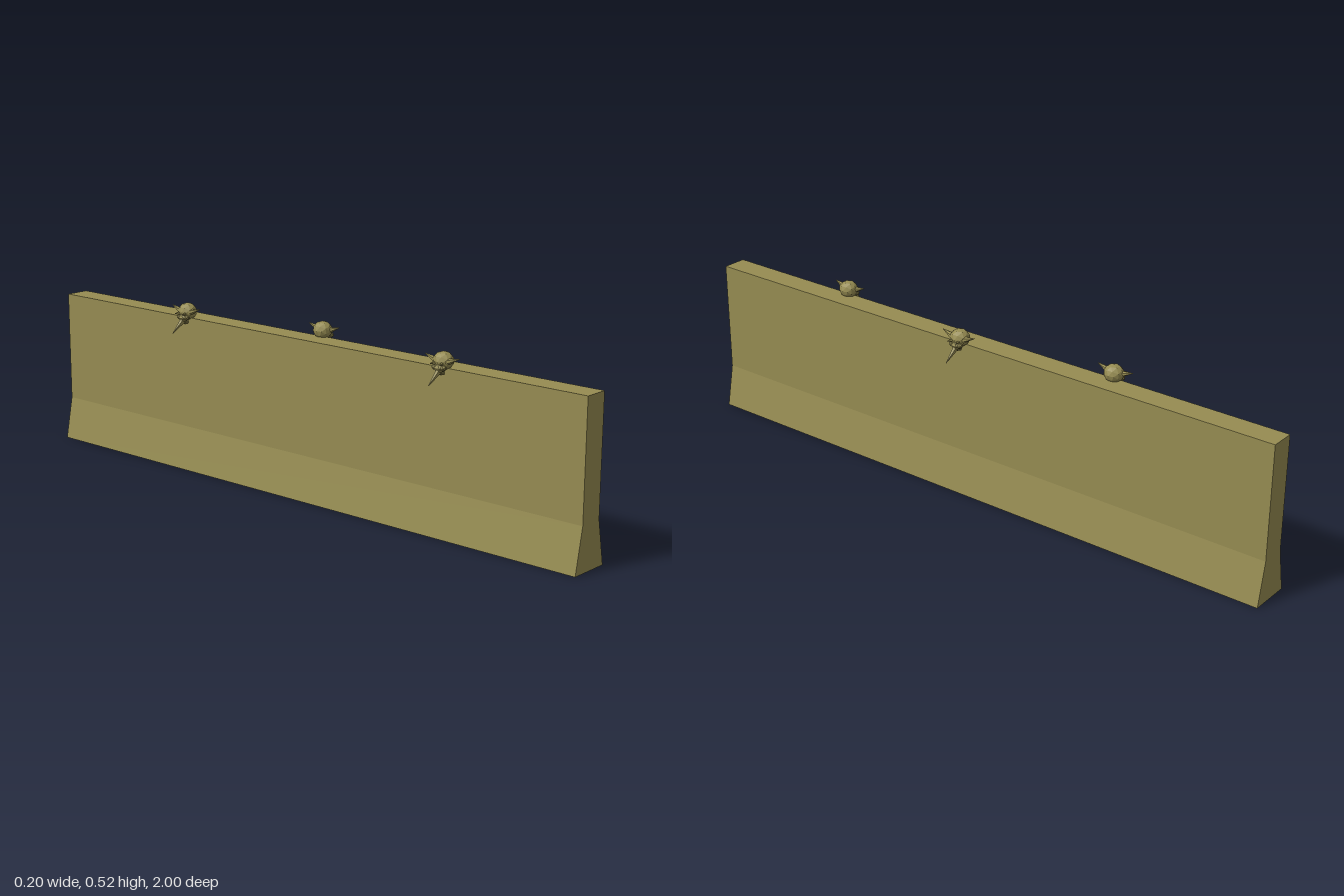
import * as THREE from 'three';

const material = new THREE.MeshStandardMaterial({ color: 0x968c52, flatShading: true, side: THREE.DoubleSide });

function part(name, geometry, parent) {
  const mesh = new THREE.Mesh(geometry, material);
  mesh.name = name;
  parent.add(mesh);
  return mesh;
}

// Low-poly spike between two points, flattened across its width
function spike(name, from, to, radius, sides, flat, parent) {
  const a = new THREE.Vector3(...from), b = new THREE.Vector3(...to);
  const dir = b.clone().sub(a);
  const geometry = new THREE.CylinderGeometry(radius * 0.08, radius, dir.length(), sides);
  geometry.scale(1, 1, flat);
  const mesh = part(name, geometry, parent);
  mesh.position.copy(a).add(b).multiplyScalar(0.5);
  mesh.quaternion.setFromUnitVectors(new THREE.Vector3(0, 1, 0), dir.normalize());
  return mesh;
}

function blob(name, position, size, parent, detail = 0) {
  const mesh = part(name, new THREE.IcosahedronGeometry(1, detail), parent);
  mesh.position.set(...position);
  mesh.scale.set(...size);
  return mesh;
}

// Peeking head that looks towards +x over the top edge
function createHead() {
  const head = new THREE.Group();
  head.name = 'peekingHead';
  blob('skull', [0.037, 0.496, 0], [0.028, 0.027, 0.03], head, 1);
  blob('muzzle', [0.055, 0.478, 0], [0.015, 0.015, 0.018], head);
  blob('jaw', [0.046, 0.465, 0], [0.011, 0.008, 0.012], head);
  spike('nose', [0.053, 0.474, 0], [0.101, 0.437, 0], 0.011, 5, 0.8, head);
  for (const s of [-1, 1]) {
    spike('ear', [0.044, 0.496, s * 0.018], [0.043, 0.509, s * 0.058], 0.013, 6, 0.75, head);
    blob('cheek', [0.056, 0.48, s * 0.015], [0.01, 0.009, 0.009], head);
    spike('brow', [0.053, 0.492, s * 0.01], [0.076, 0.492, s * 0.016], 0.008, 5, 0.8, head);
  }
  return head;
}

export function createModel() {
  const model = new THREE.Group();
  model.name = 'barrierWithHeads';

  // Long wall with a flared foot
  const profile = new THREE.Shape([
    [-0.068, 0], [0.06, 0], [0.034, 0.132], [0.034, 0.478], [-0.042, 0.478], [-0.042, 0.132],
  ].map(([x, y]) => new THREE.Vector2(x, y)));
  const wall = new THREE.ExtrudeGeometry(profile, { depth: 2, bevelEnabled: false });
  wall.translate(0, 0, -1);
  part('wall', wall, model);

  // One head looks left, two look right
  for (const [z, turn] of [[0.035, 0], [0.535, Math.PI], [-0.45, Math.PI]]) {
    const head = createHead();
    head.position.z = z;
    head.rotation.y = turn;
    model.add(head);
  }
  return model;
}
